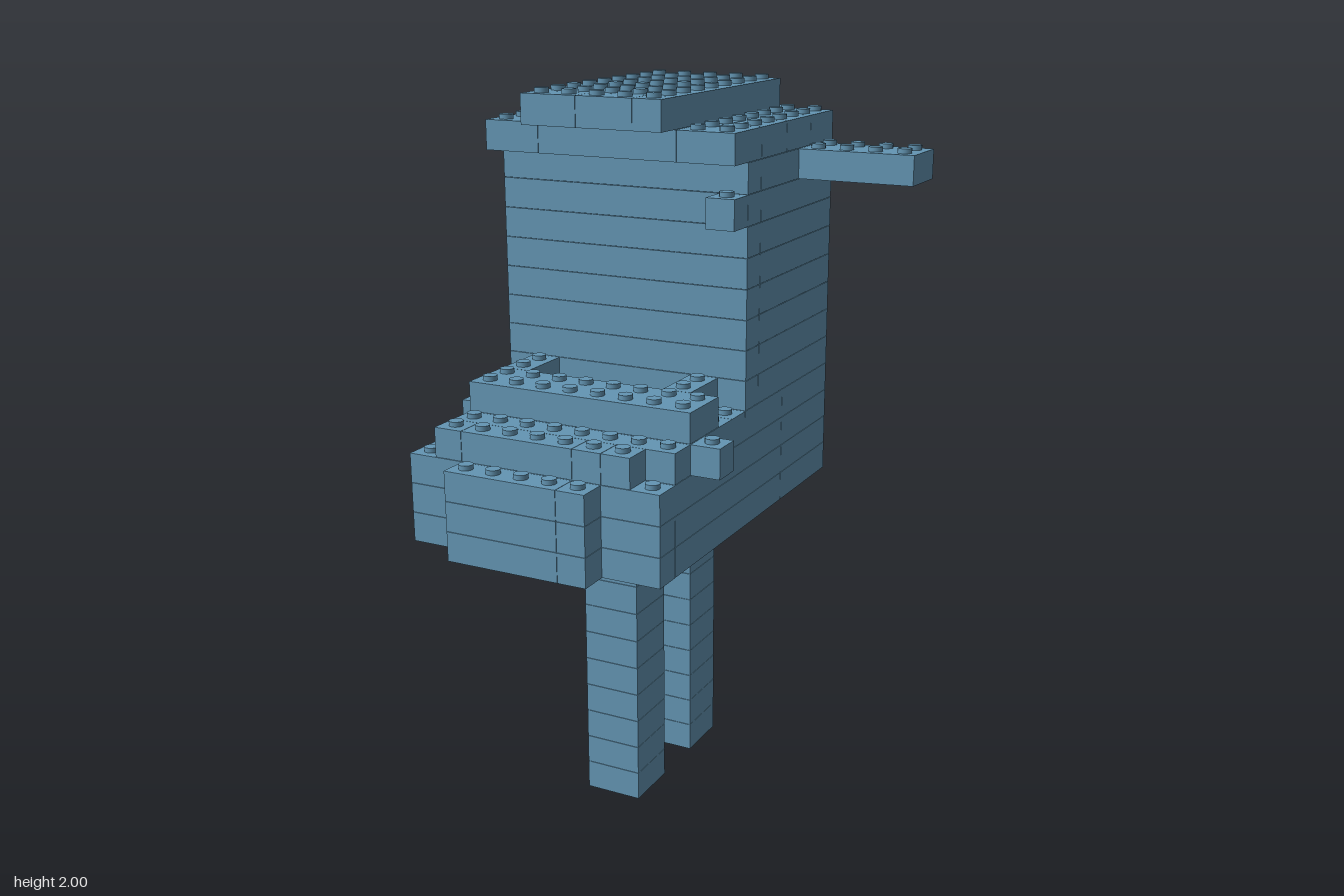
import * as THREE from 'three';
import { mergeGeometries } from 'three/addons/utils/BufferGeometryUtils.js';

const P = 0.0828;          // stud pitch and course height
const GAP = 0.0012;        // seam between bricks
const STUD_R = 0.0195, STUD_H = 0.0126;
const gx = n => (n - 6.5) * P;
const gz = m => (m - 7.5) * P;

export function createModel() {
  const model = new THREE.Group();
  model.name = 'brickFigure';
  const blue = new THREE.MeshStandardMaterial({ color: 0x6496b4 });
  blue.name = 'steel blue';
  const filled = new Set();
  const key = (n, m, l) => `${n},${m},${l}`;

  // One brick covering grid cells n0..n1 (x), m0..m1 (z) in a course
  function brick(n0, n1, m0, m1, l) {
    for (let n = n0; n < n1; n++) for (let m = m0; m < m1; m++) filled.add(key(n, m, l));
    const g = new THREE.BoxGeometry((n1 - n0) * P - GAP, P - GAP, (m1 - m0) * P - GAP);
    g.translate((gx(n0) + gx(n1)) / 2, (l + 0.5) * P, (gz(m0) + gz(m1)) / 2);
    return g;
  }

  // A stack of courses, each split into bricks at the given x and z seams
  function block(name, xs, zs, from, to = from) {
    const parts = [];
    for (let l = from; l <= to; l++)
      for (let i = 0; i + 1 < xs.length; i++)
        for (let j = 0; j + 1 < zs.length; j++)
          parts.push(brick(xs[i], xs[i + 1], zs[j], zs[j + 1], l));
    const mesh = new THREE.Mesh(mergeGeometries(parts), blue);
    mesh.name = name;
    model.add(mesh);
  }

  // Legs
  block('frontLeg', [4, 6], [8, 10], 0, 9);
  block('backLeg', [4, 6], [4, 6], 0, 9);

  // Wide lower body with a narrower front panel
  for (let l = 10; l <= 12; l++)
    block('lowerBody', l % 2 ? [0, 4, 9] : [0, 2, 6, 9], [1, 5, 13, 14], l);
  block('frontPanel', [2, 6, 7], [14, 15], 10, 12);

  // Stepped front
  block('shoulderCourse', [0, 9], [1, 5, 8], 13);
  block('leftSideStep', [0, 1], [8, 9, 11], 13);
  block('firstStep', [1, 9], [8, 9, 10, 12, 13], 13);
  block('firstStepLip', [1, 2, 6, 7, 8], [13, 14], 13);
  block('sideNub', [9, 10], [11, 12], 13);
  block('secondStep', [1, 9], [10, 12], 14);
  block('stepArmA', [1, 2], [8, 10], 14);
  block('stepArmB', [7, 8], [8, 10], 14);

  // Tall upper body and the ridge up its back
  block('upperBody', [0, 9], [1, 7, 8], 14, 21);
  block('backRidge', [2, 6, 7], [0, 1], 10, 22);

  // Face nub, arm and cap
  block('faceNub', [8, 9], [8, 9], 20);
  block('arm', [9, 13], [2, 4], 21);
  block('capBrim', [0, 2, 7, 9], [1, 3, 5, 7, 9], 22);
  block('capTop', [2, 4, 6, 7], [1, 9, 10], 23);

  // Studs on every cell with nothing above it
  const studs = [];
  for (const k of filled) {
    const [n, m, l] = k.split(',').map(Number);
    if (filled.has(key(n, m, l + 1))) continue;
    const s = new THREE.CylinderGeometry(STUD_R, STUD_R, STUD_H + GAP, 16);
    s.translate(gx(n + 0.5), (l + 1) * P + (STUD_H - GAP) / 2, gz(m + 0.5));
    studs.push(s);
  }
  const studMesh = new THREE.Mesh(mergeGeometries(studs), blue);
  studMesh.name = 'studs';
  model.add(studMesh);
  return model;
}
